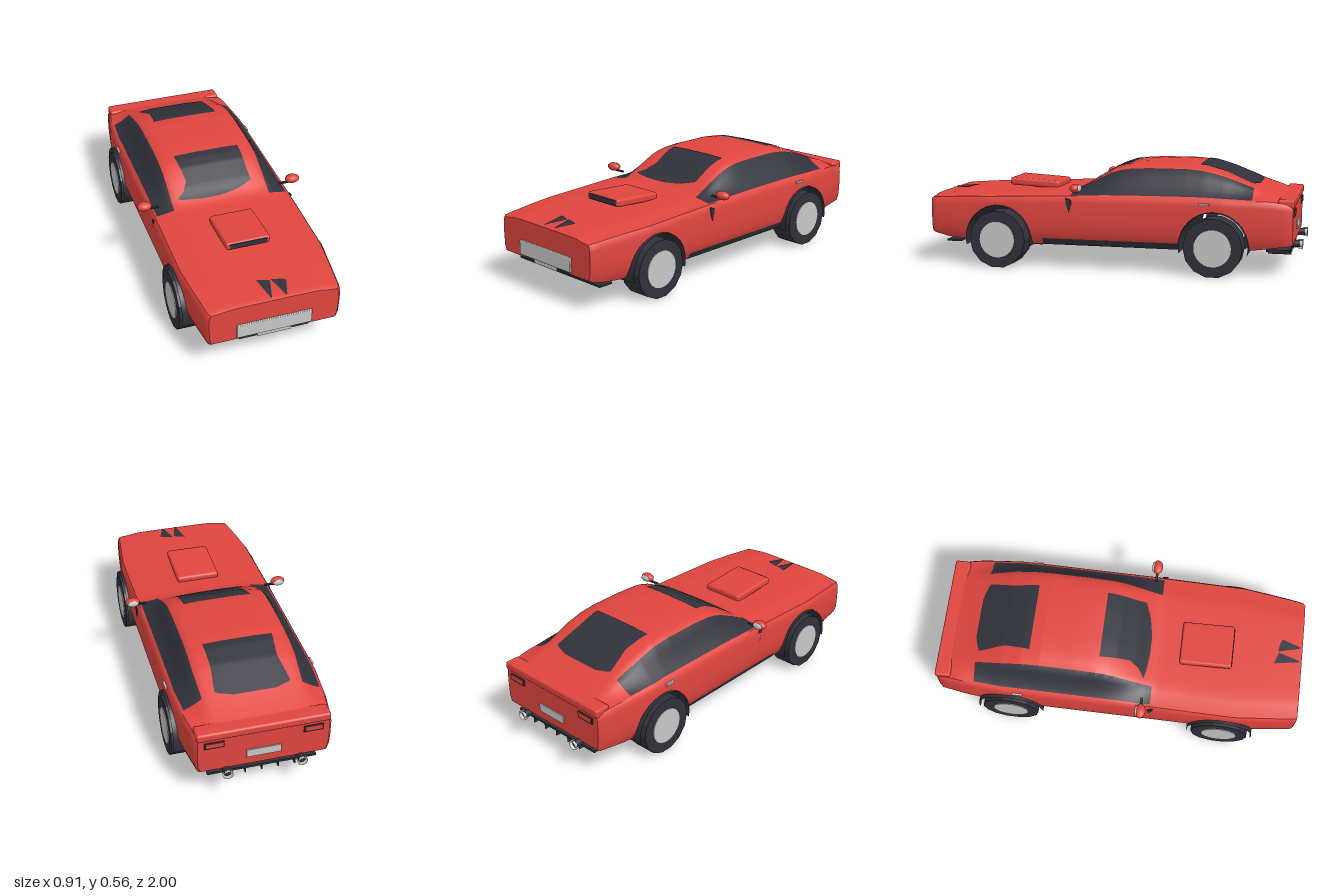
import * as THREE from 'three';
import { toCreasedNormals } from 'three/addons/utils/BufferGeometryUtils.js';
import { RoundedBoxGeometry } from 'three/addons/geometries/RoundedBoxGeometry.js';

const mat = (name, color) => Object.assign(new THREE.MeshStandardMaterial({ color }), { name });

// piecewise linear lookup in [position, value] knots, position ascending
function lerpKnots(knots, p) {
  if (p <= knots[0][0]) return knots[0][1];
  for (let i = 1; i < knots.length; i++) {
    const [a, va] = knots[i - 1], [b, vb] = knots[i];
    if (p <= b) return va + (vb - va) * (p - a) / (b - a);
  }
  return knots[knots.length - 1][1];
}

// body rules along z
const WIDTH = [[-0.945, 0.345], [-0.8, 0.368], [-0.6, 0.385], [0.65, 0.385], [0.8, 0.368], [0.95, 0.35], [0.975, 0.345]];
const BELT = [[-0.945, 0.375], [-0.85, 0.392], [-0.5, 0.4], [0.2, 0.395], [0.8, 0.372], [0.975, 0.36]];
const ROOF = [[-0.945, 0.39], [-0.9, 0.402], [-0.8, 0.438], [-0.7, 0.48], [-0.6, 0.522], [-0.5, 0.551], [-0.4, 0.562],
  [-0.2, 0.562], [-0.1, 0.555], [-0.05, 0.545], [0, 0.527], [0.1, 0.472], [0.15, 0.44], [0.2, 0.413], [0.4, 0.402], [0.8, 0.386], [0.975, 0.375]];
const SILL = [[-0.945, 0.165], [-0.75, 0.14], [-0.35, 0.13], [0.35, 0.13], [0.8, 0.14], [0.9, 0.15], [0.975, 0.17]];
// cabin cross-section: fraction of half width, fraction of cabin height
const CABIN = [[0.965, 0], [0.94, 0.05], [0.9, 0.13], [0.82, 0.36], [0.76, 0.6], [0.69, 0.86], [0.6, 0.93], [0.47, 0.975], [0.25, 1], [0, 1]];
const AXLES = [0.59, -0.56], ARCH_Y = 0.155, ARCH_R = 0.18;

function bottomY(z) {
  for (const c of AXLES) {
    const d = Math.abs(z - c);
    if (d < ARCH_R + 1e-4) return ARCH_Y + Math.sqrt(Math.max(0, ARCH_R ** 2 - d * d));
  }
  return lerpKnots(SILL, z);
}

function cabinPoints(z) {
  const w = lerpKnots(WIDTH, z), b = lerpKnots(BELT, z), h = lerpKnots(ROOF, z) - b;
  return CABIN.map(([fx, fy]) => [fx * w, b + fy * h]);
}

// closed ring, counter-clockwise seen from the front, starting at bottom centre
function section(z) {
  const w = lerpKnots(WIDTH, z), b = lerpKnots(BELT, z), yb = bottomY(z);
  const side = [0, 0.165, 0.2, 0.26, b - 0.035].map((l) => {
    const y = Math.max(yb, l), t = Math.max(0, (0.23 - y) / 0.1);
    return [w - 0.035 * t * t, y];
  });
  const half = [[0, yb], ...side, [w * 0.99, Math.max(yb, b - 0.014)], ...cabinPoints(z)];
  return [...half, ...half.slice(1, -1).reverse().map(([x, y]) => [-x, y])];
}

function topY(x, z) {
  return lerpKnots(cabinPoints(z).reverse(), Math.abs(x));
}

function geometryFrom(positions, facesByMaterial) {
  const g = new THREE.BufferGeometry();
  g.setAttribute('position', new THREE.Float32BufferAttribute(positions, 3));
  g.setIndex(facesByMaterial.flat());
  let start = 0;
  facesByMaterial.forEach((f, i) => { g.addGroup(start, f.length, i); start += f.length; });
  return g;
}

function bodyGeometry() {
  const stations = [0.975, -0.945];
  for (let i = -18; i <= 19; i++) stations.push(i * 0.05);
  for (const c of AXLES) {
    for (let k = 0; k <= 16; k++) stations.push(c + ARCH_R * Math.cos(Math.PI * k / 16));
    stations.push(c + ARCH_R + 0.001, c - ARCH_R - 0.001);
  }
  stations.sort((a, b) => b - a);
  const rings = stations.map((z) => ({ z, pts: section(z) }));
  // small rounding at nose and tail
  const shrink = (r, z) => ({ z, pts: r.pts.map(([x, y]) => [x * 0.965, 0.27 + (y - 0.27) * 0.95]) });
  rings.unshift(shrink(rings[0], 0.987));
  rings.push(shrink(rings[rings.length - 1], -0.957));
  const n = rings[0].pts.length, pos = [], red = [], dark = [];
  rings.forEach((r) => r.pts.forEach(([x, y]) => pos.push(x, y, r.z)));
  const glassFrom = 8, glassTo = 12;
  for (let i = 0; i < rings.length - 1; i++) {
    const zm = (rings[i].z + rings[i + 1].z) / 2;
    for (let j = 0; j < n; j++) {
      const k = (j + 1) % n, m = Math.min(j, n - 1 - j);
      const under = m === 0 || (m === 1 && Math.abs(zm + 0.01) < 0.37);
      const glass = m >= glassFrom && m < glassTo && zm < 0.2 && zm > -0.75;
      const a = i * n + j, b = i * n + k, c = b + n, d = a + n;
      (under || glass ? dark : red).push(a, d, c, a, c, b);
    }
  }
  const last = (rings.length - 1) * n, c0 = pos.length / 3;
  pos.push(0, 0.27, 0.987, 0, 0.27, -0.957);
  for (let j = 0; j < n; j++) {
    const k = (j + 1) % n;
    red.push(c0, j, k, c0 + 1, last + k, last + j);
  }
  return toCreasedNormals(geometryFrom(pos, [red, dark]), 0.7);
}

// thin panel following the body top; rows are [z, left x, right x], z ascending
function drapedPanel(rows, lift = 0.004) {
  const pos = [], faces = [], cols = 12;
  const z0 = rows[0][0], z1 = rows[rows.length - 1][0], steps = Math.ceil((z1 - z0) / 0.01);
  for (let i = 0; i <= steps; i++) {
    const z = z0 + (z1 - z0) * i / steps;
    const l = lerpKnots(rows.map((r) => [r[0], r[1]]), z), r = lerpKnots(rows.map((q) => [q[0], q[2]]), z);
    for (let j = 0; j <= cols; j++) {
      const x = l + (r - l) * j / cols;
      pos.push(x, topY(x, z) + lift, z);
      if (i < steps && j < cols) {
        const a = i * (cols + 1) + j, d = a + cols + 1;
        faces.push(a, d, a + 1, a + 1, d, d + 1);
      }
    }
  }
  const g = geometryFrom(pos, [faces]);
  g.clearGroups();
  g.computeVertexNormals();
  return g;
}

export function createModel() {
  const car = new THREE.Group();
  car.name = 'car';
  const red = mat('redPaint', 0xe0453f), dark = mat('darkTrim', 0x30313a), silver = mat('silver', 0xc8c8c8);
  const liner = mat('archLiner', 0x2e2f38);
  liner.side = THREE.DoubleSide;

  const add = (name, geo, m, x = 0, y = 0, z = 0, parent = car) => {
    const mesh = new THREE.Mesh(geo, m);
    mesh.name = name;
    mesh.position.set(x, y, z);
    parent.add(mesh);
    return mesh;
  };
  const box = (name, m, w, h, d, x, y, z, parent) => add(name, new THREE.BoxGeometry(w, h, d), m, x, y, z, parent);
  const rounded = (name, m, w, h, d, r, x, y, z, parent) => add(name, new RoundedBoxGeometry(w, h, d, 2, r), m, x, y, z, parent);

  add('body', bodyGeometry(), [red, dark]);

  // glass and bonnet vents
  add('windscreen', drapedPanel([[-0.09, -0.18, 0.185], [0.07, -0.16, 0.185], [0.12, -0.19, 0.19], [0.155, -0.24, 0.1], [0.17, -0.1, 0.0]]), dark);
  add('rearWindow', drapedPanel([[-0.765, -0.12, 0.1], [-0.74, -0.2, 0.19], [-0.6, -0.17, 0.175], [-0.46, -0.185, 0.18]]), dark);
  add('bonnetVent', drapedPanel([[0.84, -0.045, -0.035], [0.86, -0.04, 0.02], [0.975, -0.018, -0.012]]), dark);
  add('bonnetVent', drapedPanel([[0.855, 0.025, 0.03], [0.87, 0.03, 0.1], [0.975, 0.06, 0.066]]), dark);

  // bonnet scoop
  const scoop = new THREE.Group();
  scoop.name = 'bonnetScoop';
  scoop.position.set(0, 0.423, 0.47);
  scoop.rotation.x = -0.06;
  car.add(scoop);
  rounded('scoopShell', red, 0.236, 0.042, 0.28, 0.014, 0, 0, 0, scoop);
  box('scoopOpening', dark, 0.2, 0.028, 0.006, 0, 0, 0.139, scoop);

  // nose and tail details
  rounded('frontPanel', silver, 0.39, 0.078, 0.012, 0.004, 0, 0.225, 0.991);
  box('frontLowerPlate', silver, 0.175, 0.02, 0.012, 0, 0.176, 0.985);
  box('frontLowerIntake', dark, 0.36, 0.016, 0.008, 0, 0.178, 0.984);
  box('frontSplitter', dark, 0.62, 0.01, 0.08, 0, 0.122, 0.87);
  rounded('rearSpoiler', red, 0.675, 0.045, 0.085, 0.012, 0, 0.382, -0.922);
  box('rearPlate', silver, 0.175, 0.045, 0.008, 0, 0.24, -0.959);
  box('diffuserPlate', dark, 0.56, 0.012, 0.12, 0, 0.13, -0.88);
  for (let i = -2; i <= 2; i++) box('diffuserFin', dark, 0.006, 0.04, 0.12, i * 0.085, 0.116, -0.88);

  // wheel arch tunnels
  for (const z of AXLES) {
    const tunnel = new THREE.CylinderGeometry(0.178, 0.178, 0.8, 28, 1, true, -0.2, Math.PI + 0.4);
    tunnel.rotateZ(Math.PI / 2);
    add('wheelArchLiner', tunnel, liner, 0, ARCH_Y, z);
  }

  const tyreGeo = toCreasedNormals(new THREE.CylinderGeometry(0.153, 0.153, 0.122, 14).rotateZ(Math.PI / 2), 0.3);
  const hubGeo = new THREE.CylinderGeometry(0.096, 0.096, 0.128, 28).rotateZ(Math.PI / 2);
  const tipProfile = [[0.017, 0.09], [0.017, 0], [0.019, 0], [0.02, 0.06], [0.026, 0.07], [0.026, 0.09], [0.017, 0.09]];
  const tipGeo = new THREE.LatheGeometry(tipProfile.map(([r, y]) => new THREE.Vector2(r, y)).reverse(), 16).rotateX(-Math.PI / 2);
  const sliver = new THREE.Shape([[0, 0.31], [0.012, 0.35], [0.012, 0.375], [-0.018, 0.385], [-0.014, 0.35]].map(([x, y]) => new THREE.Vector2(x, y)));

  for (const s of [1, -1]) {
    // wheels
    for (const z of AXLES) {
      add('tyre', tyreGeo, dark, s * 0.345, 0.153, z);
      add('wheelDisc', hubGeo, silver, s * 0.346, 0.153, z);
    }
    // door mirrors
    add('mirrorShell', new THREE.SphereGeometry(1, 20, 14).scale(0.04, 0.023, 0.028), red, s * 0.415, 0.441, 0.155);
    add('mirrorGlass', new THREE.SphereGeometry(1, 16, 10).scale(0.03, 0.017, 0.01), silver, s * 0.415, 0.441, 0.134);
    box('mirrorStalk', dark, 0.06, 0.008, 0.014, s * 0.368, 0.425, 0.155);
    // door handles and wing slits
    box('doorHandle', silver, 0.012, 0.01, 0.055, s * 0.387, 0.374, -0.51);
    const slit = add('wingSlit', new THREE.ExtrudeGeometry(sliver, { depth: 0.004, bevelEnabled: false }), dark, s * 0.385, 0, 0.2);
    slit.rotation.y = Math.PI / 2;
    // tail lamps
    box('tailLampFrame', dark, 0.1, 0.036, 0.012, s * 0.25, 0.33, -0.957);
    box('tailLamp', red, 0.086, 0.024, 0.012, s * 0.25, 0.333, -0.96);
    // exhausts
    add('exhaustTip', tipGeo, silver, s * 0.19, 0.158, -0.91);
    add('exhaustBore', new THREE.CylinderGeometry(0.018, 0.018, 0.07, 16).rotateX(Math.PI / 2), dark, s * 0.19, 0.158, -0.95);
  }
  return car;
}
